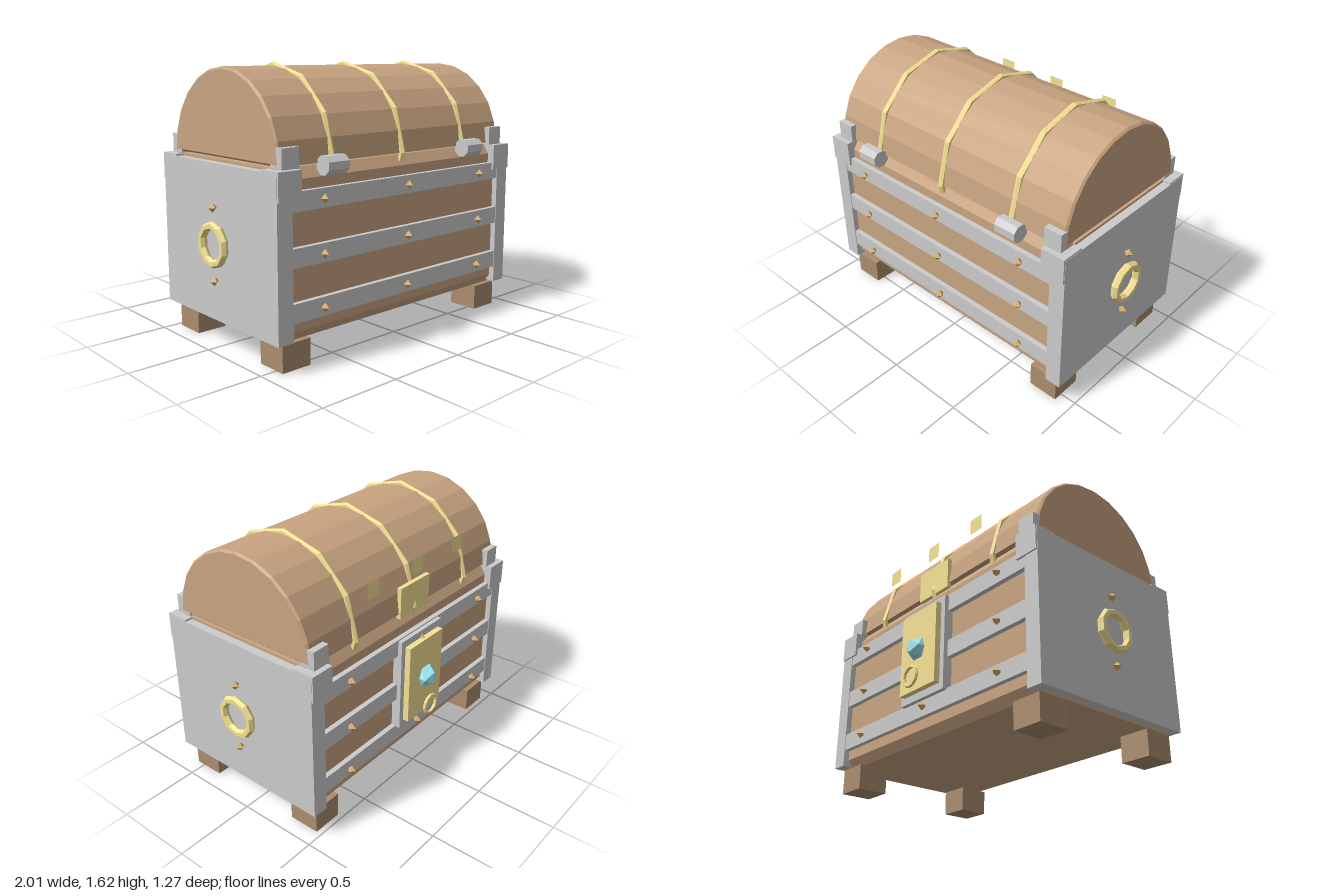
import * as THREE from 'three';

const paint = (color) => new THREE.MeshStandardMaterial({ color, flatShading: true });
const wood = paint(0xc8a481);
const darkWood = paint(0xaa8d6f);
const metal = paint(0xcccccc);
const gold = paint(0xf5e294);
const brass = paint(0xd8b070);
const gem = paint(0x9feaf5);
const goldSheet = paint(0xf5e294);
goldSheet.side = THREE.DoubleSide;

export function createModel() {
  const model = new THREE.Group();
  model.name = 'treasureChest';
  // Everything is laid out around the middle of the box, then shifted
  const chest = new THREE.Group();
  chest.name = 'chest';
  chest.position.z = 0.045;
  model.add(chest);

  const add = (name, geometry, material, x = 0, y = 0, z = 0) => {
    const mesh = new THREE.Mesh(geometry, material);
    mesh.name = name;
    mesh.position.set(x, y, z);
    chest.add(mesh);
    return mesh;
  };
  // Box given by its extents
  const block = (name, material, x0, x1, y0, y1, z0, z1) =>
    add(name, new THREE.BoxGeometry(Math.abs(x1 - x0), y1 - y0, Math.abs(z1 - z0)), material,
      (x0 + x1) / 2, (y0 + y1) / 2, (z0 + z1) / 2);
  // Profile in z and y, extruded across x with a small end chamfer
  const across = (points, half, bevel) => {
    const shape = new THREE.Shape(points.map(([z, y]) => new THREE.Vector2(z, y)));
    const geometry = new THREE.ExtrudeGeometry(shape, {
      depth: 2 * (half - bevel), bevelEnabled: bevel > 0, bevelThickness: bevel,
      bevelSize: bevel, bevelOffset: -bevel, bevelSegments: 1,
    });
    return geometry.translate(0, 0, bevel - half).rotateY(Math.PI / 2);
  };
  const sides = [-1, 1];

  // Wooden box with chamfered long edges
  add('woodenBody', across([
    [-0.475, 0.155], [0.475, 0.155], [0.515, 0.21], [0.515, 1.03],
    [0.475, 1.09], [-0.475, 1.09], [-0.515, 1.03], [-0.515, 0.21],
  ], 0.9, 0), wood);

  // Half-round lid
  const arch = [];
  for (let i = 0; i <= 12; i++) {
    const a = (i / 12) * Math.PI;
    arch.push([0.5 * Math.cos(a), 1.1 + 0.5 * Math.sin(a)]);
  }
  add('lid', across(arch, 0.9, 0.012), wood);

  // Coarse hoops over the lid, sinking into it between their corners
  for (const x of [-0.54, 0, 0.54]) {
    const hoop = new THREE.TorusGeometry(0.505, 0.02, 6, 8, (Math.PI * 4) / 3);
    hoop.rotateZ(-Math.PI / 6).rotateY(Math.PI / 2);
    add('lidHoop', hoop, gold, x, 1.1, 0);
  }

  for (const sx of sides) {
    // End plate
    block('endPlate', metal, sx * 0.85, sx * 0.95, 0.17, 1.075, -0.55, 0.55);

    // Ring handle with a stud above and below
    const ring = new THREE.TorusGeometry(0.11, 0.025, 6, 10);
    ring.rotateZ(Math.PI / 2).rotateY(Math.PI / 2);
    add('ringHandle', ring, gold, sx * 0.978, 0.62, 0);
    for (const y of [0.41, 0.83]) {
      add('endStud', new THREE.OctahedronGeometry(0.028), brass, sx * 0.975, y, 0);
    }

    // Barrel hinge on the front
    const barrel = new THREE.CylinderGeometry(0.055, 0.055, 0.145, 8);
    barrel.rotateY(Math.PI / 8).rotateZ(Math.PI / 2);
    add('hinge', barrel, metal, sx * 0.565, 1.09, 0.54);

    for (const sz of sides) {
      // Foot
      block('foot', darkWood, sx * 0.705, sx * 0.895, 0, 0.155, sz * 0.315, sz * 0.51);
      // L-shaped cap on the box corner
      block('bodyCornerFront', metal, sx * 0.795, sx * 0.948, 0.93, 1.087, sz * 0.48, sz * 0.56);
      block('bodyCornerSide', metal, sx * 0.88, sx * 0.948, 0.93, 1.087, sz * 0.415, sz * 0.5);
      // Cap on the lid corner
      block('lidCorner', metal, sx * 0.785, sx * 0.899, 1.088, 1.2, sz * 0.43, sz * 0.527);
    }
  }

  // Horizontal bands and their studs, front and back
  for (const sz of sides) {
    for (const y of [0.325, 0.622, 0.92]) {
      block('band', metal, -0.86, 0.86, y - 0.053, y + 0.053, sz * 0.49, sz * 0.546);
      for (const x of [-0.645, 0, 0.645]) {
        add('bandStud', new THREE.OctahedronGeometry(0.028), brass, x, y, sz * 0.567);
      }
    }
  }

  // Lock: backing, gold plate, gem and pull ring
  block('lockBacking', metal, -0.2, 0.2, 0.37, 0.965, -0.5, -0.573);
  block('lockPlate', gold, -0.165, 0.165, 0.415, 0.92, -0.56, -0.61);
  add('lockGem', new THREE.IcosahedronGeometry(0.073), gem, 0, 0.67, -0.612);
  add('lockRing', new THREE.TorusGeometry(0.06, 0.01, 6, 12), gold, 0, 0.482, -0.657);

  // Hasp on the lid and thin square plates above it
  block('hasp', gold, -0.14, 0.14, 1.07, 1.265, -0.485, -0.513);
  for (const x of [-0.41, 0, 0.41]) {
    add('lidTab', new THREE.PlaneGeometry(0.1, 0.1), goldSheet, x, 1.37, -0.52);
  }

  return model;
}
